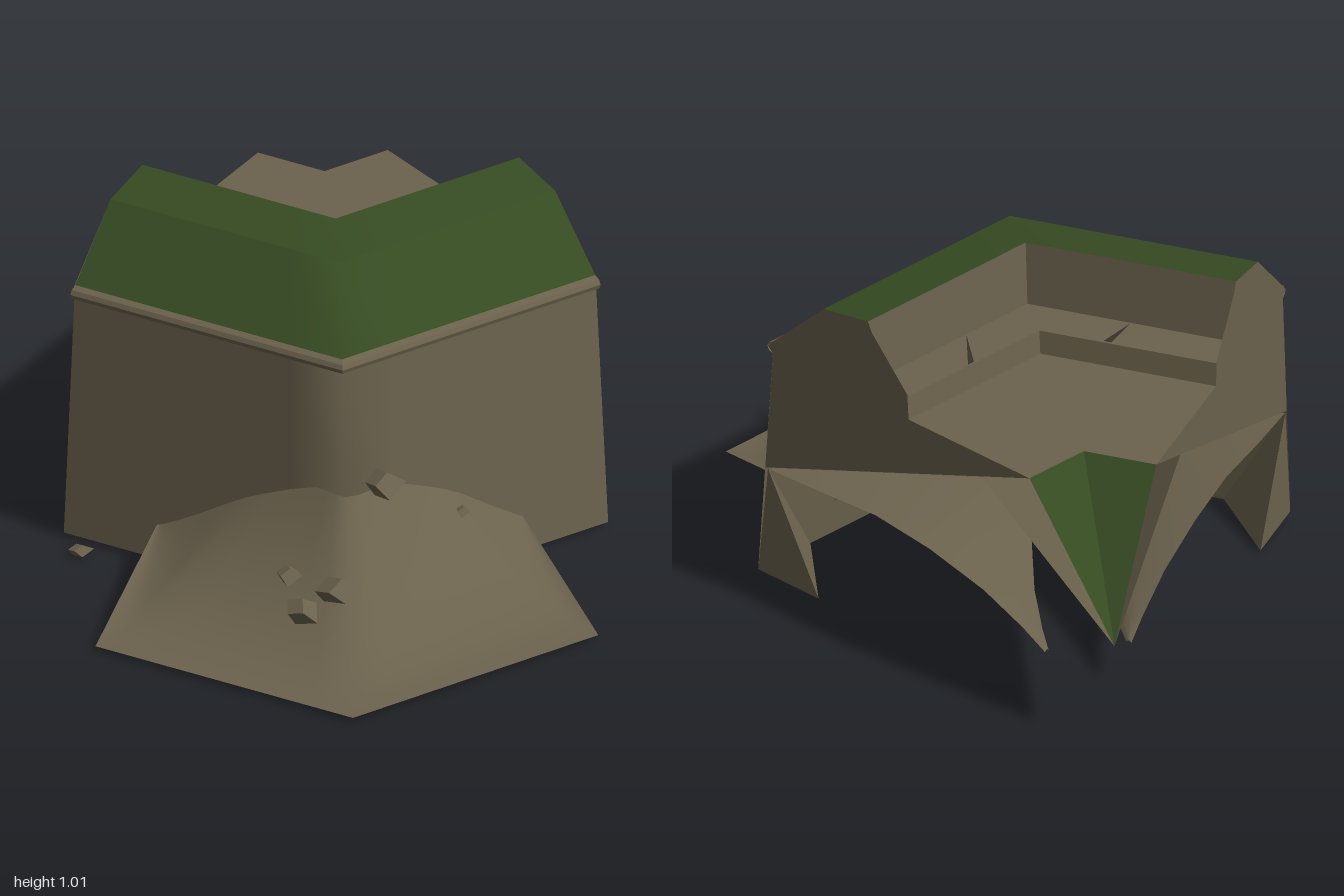
import * as THREE from 'three';

const ANGLE = THREE.MathUtils.degToRad(66);
const MITRE = Math.tan(ANGLE / 2);
const CX = -0.825, CZ = -1;

// Point in one of the two arms: r = distance out from the hub, s = distance in from the cut end
function at(arm, r, s, y) {
  if (arm === 0) return new THREE.Vector3(CX + s, y, CZ + r);
  const c = Math.cos(ANGLE), n = Math.sin(ANGLE);
  return new THREE.Vector3(CX + r * n - s * c, y, CZ + r * c + s * n);
}

// Surface through rows of points
function grid(rows, smooth) {
  const w = rows[0].length, pos = [], idx = [];
  rows.forEach(row => row.forEach(p => pos.push(p.x, p.y, p.z)));
  for (let i = 0; i < rows.length - 1; i++) {
    for (let j = 0; j < w - 1; j++) {
      const a = i * w + j, b = a + 1, c = a + w, d = c + 1;
      idx.push(a, b, c, b, d, c);
    }
  }
  let g = new THREE.BufferGeometry();
  g.setAttribute('position', new THREE.Float32BufferAttribute(pos, 3));
  g.setIndex(idx);
  if (!smooth) g = g.toNonIndexed();
  g.computeVertexNormals();
  return g;
}

// Profile [r, y] carried around the mitred corner; smooth blends the shading across the corner
function sweep(profile, smooth) {
  return grid(profile.map(([r, y]) => {
    const m = r * MITRE;
    return [at(0, r, 0, y), at(0, r, m - 0.18, y), at(0, r, m, y), at(1, r, m - 0.18, y), at(1, r, 0, y)];
  }), smooth);
}

// Flat polygon [r, y] on the cut end of an arm
function endPlate(arm, points) {
  const g = new THREE.ShapeGeometry(new THREE.Shape(points.map(p => new THREE.Vector2(...p))));
  const p = g.attributes.position;
  for (let i = 0; i < p.count; i++) {
    const v = at(arm, p.getX(i), 0, p.getY(i));
    p.setXYZ(i, v.x, v.y, v.z);
  }
  g.computeVertexNormals();
  return g;
}

function triangles(points) {
  const g = new THREE.BufferGeometry().setFromPoints(points);
  g.computeVertexNormals();
  return g;
}

// Evenly spaced points along straight pieces
function along(points, n) {
  const out = [];
  for (let i = 0; i <= n; i++) {
    const t = (i / n) * (points.length - 1), k = Math.min(Math.floor(t), points.length - 2);
    out.push(points[k].clone().lerp(points[k + 1], t - k));
  }
  return out;
}

export function createModel() {
  const group = new THREE.Group();
  const material = (name, color) => {
    const m = new THREE.MeshStandardMaterial({ color, side: THREE.DoubleSide });
    m.name = name;
    return m;
  };
  const earth = material('earth', 0x6b624d);
  const grass = material('grass', 0x364b22);
  const shade = material('crackShade', 0x37322a);
  const add = (name, geometry, mat) => {
    const mesh = new THREE.Mesh(geometry, mat);
    mesh.name = name;
    group.add(mesh);
    return mesh;
  };

  // Main bank
  add('outerWall', sweep([[1.445, 0.01], [1.415, 0.38], [1.385, 0.755]], true), earth);
  add('wallLip', sweep([[1.385, 0.75], [1.403, 0.757], [1.407, 0.77], [1.4, 0.783], [1.38, 0.79]]), earth);
  add('grassSlope', sweep([[1.385, 0.785], [1.18, 0.98]], true), grass);
  add('grassCrown', sweep([[1.18, 0.98], [1.0, 1.01]], true), grass);
  add('innerWall', sweep([[1.0, 1.01], [0.98, 0.82]]), earth);
  add('ledge', sweep([[0.98, 0.82], [0.845, 0.82], [0.835, 0.75]]), earth);
  add('floor', grid([0.835, 0.345].map(r =>
    [at(0, r, 0, 0.75), at(0, r, r * MITRE, 0.75), at(1, r, 0, 0.75)])), earth);

  // Grass point falling from the floor to the hub
  const hub = at(0, 0, 0, 0.33);
  const brink = at(0, 0.345, 0.345 * MITRE, 0.75);
  const keel = at(0, 1.41, 1.41 * MITRE, 0.36);

  for (const arm of [0, 1]) {
    add('grassPoint', triangles([hub, at(arm, 0.345, 0, 0.75), brink]), grass);

    // Cut end face, down to the slanting lower edge
    add('endFace', endPlate(arm, [[1.416, 0.36], [1.385, 0.75], [1.405, 0.77], [1.385, 0.79],
      [1.18, 0.98], [1, 1.01], [0.985, 0.98], [0.84, 0.83], [0.835, 0.75], [0.345, 0.75]]), earth);

    // Keel-shaped underside, rising from the middle to the end face
    const edge = at(arm, 0.54, 0, 0.677), heelTop = at(arm, 1.416, 0, 0.36);
    add('underside', triangles([hub, edge, keel, edge, heelTop, keel]), earth);

    // Pointed foot under each end
    const top = at(arm, 1.405, 0, 0.36), toe = at(arm, 1.2, 0, 0.01);
    const heel = at(arm, 1.445, 0, 0.01), inner = at(arm, 1.43, 0.2, 0.02);
    add('endFoot', triangles([top, toe, heel, top, inner, toe]), earth);

    // Curved root below the floor: r, outer s and y, inner s and y
    const rows = [
      [1.4, 0, 0.36, 0.9, 0.2], [1.2, 0.01, 0.36, 0.77, 0.2], [1.0, 0.03, 0.355, 0.63, 0.2],
      [0.8, 0.05, 0.315, 0.47, 0.19], [0.6, 0.07, 0.25, 0.28, 0.165],
      [0.45, 0.08, 0.18, 0.16, 0.145], [0.365, 0.085, 0.13, 0.1, 0.13],
    ].map(([r, s0, y0, s1, y1]) => [0, 0.25, 0.5, 0.75, 1].map(t =>
      at(arm, r, s0 + (s1 - s0) * t, y0 + (y1 - y0) * t + 0.02 * Math.sin(t * Math.PI) * r)));
    add('root', grid(rows, true), earth);
  }

  // Cracks in the ledge
  const crack = (arm, s, w, lean) => add('crack', triangles([
    at(arm, 0.848, s - w, 0.823), at(arm, 0.848, s + w, 0.823), at(arm, 0.975, s + lean, 0.823)]), shade);
  crack(0, 0.34, 0.012, -0.025);
  crack(1, 0.27, 0.012, 0.11);

  // Slumped mound against the outer corner
  const V = (x, y, z) => new THREE.Vector3(x, y, z);
  const A = V(-0.52, 0.12, 0.42), E = V(0.36, 0.12, -0.15);
  const wallCurve = new THREE.CatmullRomCurve3([A, V(-0.38, 0.2, 0.41), V(-0.22, 0.29, 0.41),
    V(0, 0.37, 0.415), V(0.11, 0.37, 0.425), V(0.17, 0.36, 0.275), V(0.25, 0.28, 0.09),
    V(0.31, 0.19, -0.05), E]);
  const N = 24, M = 10;
  const rim = along([A, V(-0.39, 0.01, 1), V(0.475, 0.01, 1), V(0.825, 0.01, 0.2), E], N);
  const crest = wallCurve.getPoints(N);
  const moundRows = [];
  for (let j = 0; j <= M; j++) {
    const v = j / M;
    moundRows.push(crest.map((p, i) => {
      const q = p.clone().lerp(rim[i], v);
      q.y = rim[i].y + (p.y - rim[i].y) * Math.pow(1 - v, 1.9);
      return q;
    }));
  }
  add('mound', grid(moundRows, true), earth);

  // Loose rocks: position, half sizes, turn
  const rocks = [
    [0.2, 0.415, 0.365, 0.055, 0.035, 0.06, 0.5], [0.04, 0.195, 0.635, 0.036, 0.022, 0.04, 0.2],
    [0.205, 0.195, 0.64, 0.068, 0.03, 0.055, 0.6], [0.145, 0.155, 0.74, 0.045, 0.034, 0.06, 1.1],
    [-0.725, 0.018, 0.525, 0.036, 0.014, 0.026, 0.4], [0.475, 0.405, 0.38, 0.02, 0.013, 0.024, 0.1],
  ];
  rocks.forEach(([x, y, z, a, b, c, turn]) => {
    const g = new THREE.CylinderGeometry(0.7, 1, 1.5, 4).toNonIndexed();
    g.rotateZ(0.35);
    g.scale(a, b, c);
    g.computeVertexNormals();
    const rock = add('rock', g, earth);
    rock.position.set(x, y, z);
    rock.rotation.set(0.2, turn, 0.2);
  });

  return group;
}
